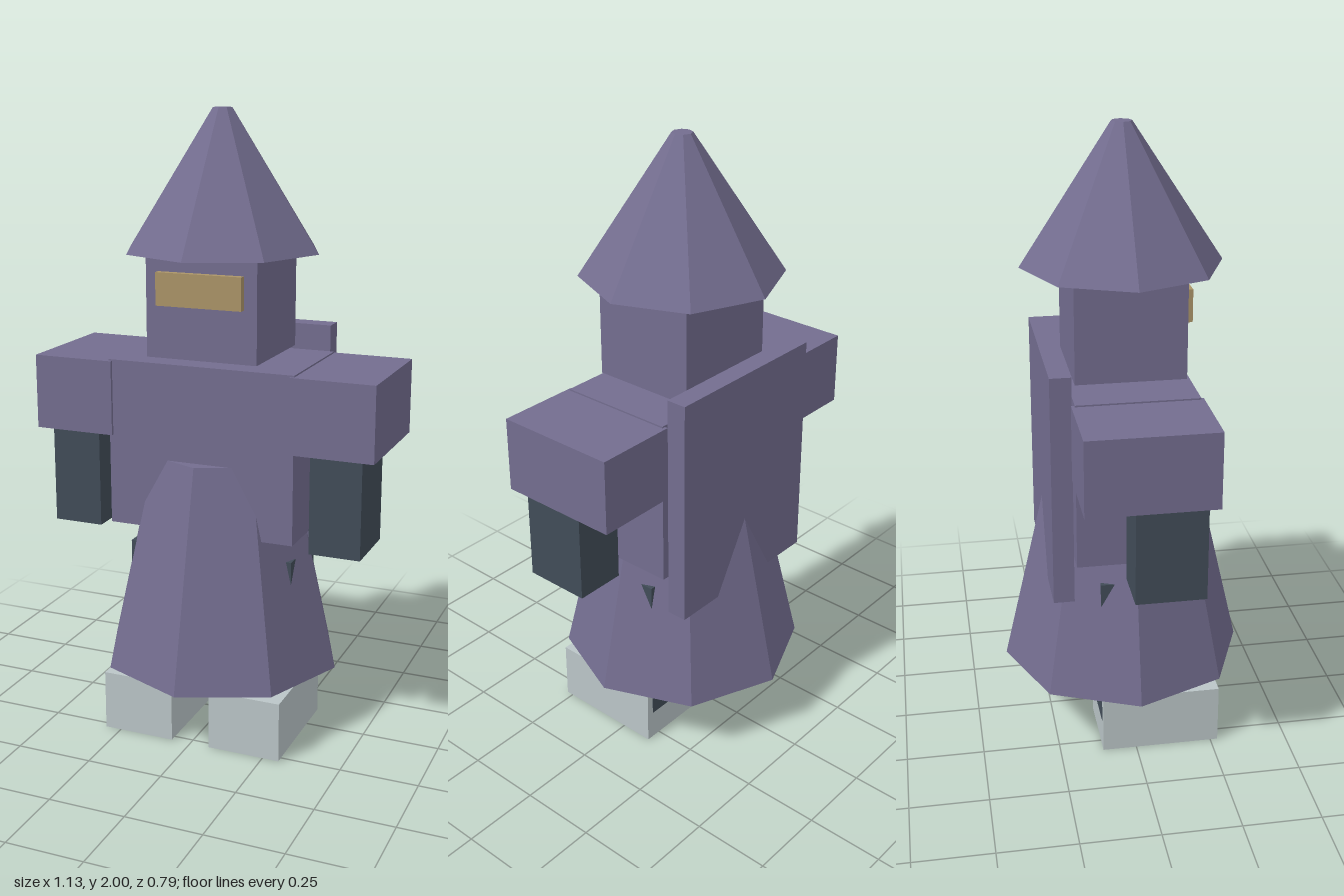
import * as THREE from 'three';

const material = (color) => new THREE.MeshStandardMaterial({ color, flatShading: true });

export function createModel() {
  const model = new THREE.Group();
  model.name = 'hoodedFigure';
  const cloth = material(0x736d8f);
  const glove = material(0x414c58);
  const boot = material(0xbac5c7);
  const gold = material(0xab9468);

  // box given by its minimum and maximum along each axis
  function box(name, mat, [x0, x1], [y0, y1], [z0, z1]) {
    const mesh = new THREE.Mesh(new THREE.BoxGeometry(x1 - x0, y1 - y0, z1 - z0), mat);
    mesh.position.set((x0 + x1) / 2, (y0 + y1) / 2, (z0 + z1) / 2);
    mesh.name = name;
    model.add(mesh);
  }

  // eight-sided tapered cone standing between two heights
  function cone(name, topRadius, bottomRadius, y0, y1) {
    const mesh = new THREE.Mesh(new THREE.CylinderGeometry(topRadius, bottomRadius, y1 - y0, 8), cloth);
    mesh.position.y = (y0 + y1) / 2;
    mesh.name = name;
    model.add(mesh);
  }

  // hat, head and visor
  cone('hat', 0.032, 0.317, 1.567, 2);
  box('head', cloth, [-0.183, 0.183], [1.245, 1.6], [-0.173, 0.173]);
  box('visor', gold, [-0.141, 0.141], [1.412, 1.515], [0.15, 0.196]);

  // torso, robe skirt and cape
  box('torso', cloth, [-0.31, 0.31], [0.692, 1.23], [-0.19, 0.19]);
  cone('skirt', 0.235, 0.397, 0.22, 0.92);
  box('cape', cloth, [-0.295, 0.295], [0.565, 1.313], [-0.263, -0.197]);

  // arms and legs, mirrored
  for (const [side, s] of [['left', 1], ['right', -1]]) {
    const span = (a, b) => (s > 0 ? [a, b] : [-b, -a]);
    box(side + 'Sleeve', cloth, span(0.298, 0.566), [0.985, 1.225], [-0.2, 0.2]);
    box(side + 'Hand', glove, span(0.358, 0.523), [0.668, 1.0], [-0.044, 0.174]);
    box(side + 'Leg', glove, span(0.09, 0.28), [0.1, 0.605], [-0.111, 0.11]);
    box(side + 'Boot', boot, span(0.065, 0.304), [0, 0.196], [-0.11, 0.274]);
  }
  return model;
}
